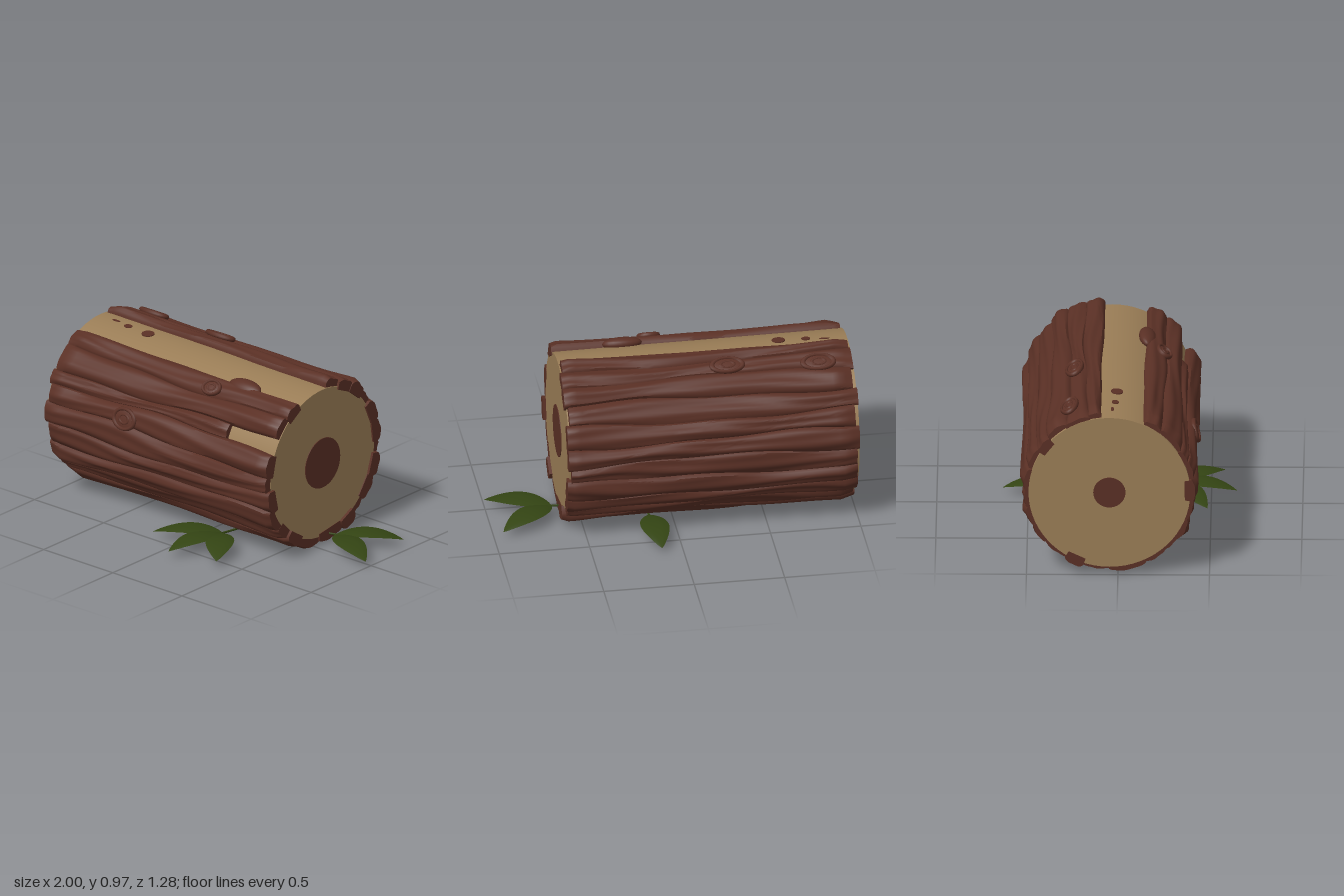
import * as THREE from 'three';
import { toCreasedNormals } from 'three/addons/utils/BufferGeometryUtils.js';

const X0 = -0.995, X1 = 0.607;
const rad = THREE.MathUtils.degToRad;

export function createModel() {
  const bark = new THREE.MeshStandardMaterial({ name: 'bark', color: 0x5a3025 });
  const wood = new THREE.MeshStandardMaterial({ name: 'wood', color: 0x9a7d56 });
  const leafGreen = new THREE.MeshStandardMaterial({ name: 'leafGreen', color: 0x334413, side: THREE.DoubleSide });

  const model = new THREE.Group();
  const log = new THREE.Group();
  log.name = 'log';
  log.position.set(0, 0.49, -0.047);
  model.add(log);

  const add = (parent, name, geometry, material) => {
    const mesh = new THREE.Mesh(geometry, material);
    mesh.name = name;
    parent.add(mesh);
    return mesh;
  };

  // Bare wood cylinder along x, with the dark heart on each end
  const trunk = new THREE.CylinderGeometry(0.432, 0.442, X1 - X0, 64, 1).rotateZ(-Math.PI / 2);
  add(log, 'woodCore', trunk, wood).position.x = (X0 + X1) / 2;
  for (const [x, r, name] of [[X1, 0.145, 'rightHeart'], [X0, 0.088, 'leftHeart']]) {
    const heart = new THREE.CylinderGeometry(r, r, 0.008, 40).rotateZ(-Math.PI / 2);
    add(log, name, heart, bark).position.x = x;
  }

  // Bark: long planks side by side round the log, angles measured from the top towards +z
  const edges = [26, 40, 57, 67, 82, 97, 111, 126, 140, 155, 177, 199, 214, 229, 243, 258, 272, 286, 300, 315, 330, 343, 354];
  edges.slice(0, -1).forEach((_, i) => {
    const start = -0.985 + 0.012 * Math.sin(i * 2.7);
    const end = i === 2 ? 0.27 : 0.612 + 0.012 * Math.sin(i * 4.1);
    add(log, 'barkPlank', plankGeometry(edges, i, start, end), bark);
  });

  // Places a mesh on the log surface at angle a (degrees), pointing outwards
  const onLog = (mesh, x, a, r) => {
    const t = rad(a);
    mesh.position.set(x, r * Math.cos(t), r * Math.sin(t));
    mesh.rotation.x = t;
    return mesh;
  };

  // Ringed knots in the bark
  for (const [x, a, w, d] of [[-0.42, 75, 0.085, 0.066], [0.06, 37, 0.065, 0.05], [-0.8, -27, 0.1, 0.055], [-0.3, -24, 0.1, 0.055]]) {
    const knot = new THREE.Group();
    knot.name = 'barkKnot';
    log.add(onLog(knot, x, a, 0.484));
    for (const [size, tube] of [[1, 0.16], [0.5, 0.13]]) {
      const ring = new THREE.TorusGeometry(size - tube, tube, 8, 28).rotateX(Math.PI / 2);
      add(knot, 'knotRing', ring, bark).scale.set(w, 0.085, d);
    }
    add(knot, 'knotCentre', new THREE.SphereGeometry(1, 24, 12), bark).scale.set(w * 0.85, 0.008, d * 0.85);
  }
  // Rounded bump on the edge of the bare strip
  const bump = add(log, 'barkBump', new THREE.SphereGeometry(1, 24, 12), bark);
  onLog(bump, 0.22, 26, 0.45).scale.set(0.11, 0.035, 0.05);

  // Small knots in the bare wood
  for (const [x, a, w, d] of [[-0.77, 4, 0.025, 0.02], [-0.62, 5, 0.037, 0.033], [-0.87, 2, 0.028, 0.008]]) {
    const spot = add(log, 'woodKnot', new THREE.CylinderGeometry(1, 1, 0.009, 20), bark);
    onLog(spot, x, a, 0.439).scale.set(w, 1, d);
  }

  // Leaf sprigs on the ground: stem root, leaf base and leaf tips
  const sprigs = [
    { name: 'frontSprig', root: [0.19, 0.055, 0.08], base: [0.17, 0.058, 0.28], tips: [[-0.16, 0.48], [0.09, 0.64], [0.38, 0.575]] },
    { name: 'rightSprig', root: [0.57, 0.06, -0.1], base: [0.65, 0.058, -0.11], tips: [[0.95, -0.33], [1.0, 0.045]] },
    { name: 'backSprig', root: [0.15, 0.055, -0.12], base: [0.14, 0.058, -0.29], tips: [[0.12, -0.64]] },
  ];
  for (const { name, root, base, tips } of sprigs) {
    const sprig = new THREE.Group();
    sprig.name = name;
    model.add(sprig);
    const a = new THREE.Vector3(...root), b = new THREE.Vector3(...base);
    const mid = a.clone().lerp(b, 0.5);
    mid.y -= 0.004;
    add(sprig, 'stem', new THREE.TubeGeometry(new THREE.CatmullRomCurve3([a, mid, b]), 8, 0.006, 8), leafGreen);
    for (const tip of tips) {
      const dx = tip[0] - base[0], dz = tip[1] - base[2];
      const leaf = add(sprig, 'leaf', leafGeometry(Math.hypot(dx, dz)), leafGreen);
      leaf.position.set(...base);
      leaf.rotation.y = Math.atan2(-dz, dx);
    }
  }
  return model;
}

// Position of the seam between two planks, wandering along the log
function seam(edges, i, x) {
  const outer = i === 0 || i === edges.length - 1;
  const k = outer ? 0.4 : 1;
  return rad(edges[i]) + k * (0.035 * Math.sin(3.1 * x + i * 1.7) + 0.014 * Math.sin(9 * x + i * 2.3));
}

// One bark plank: rounded, ridged cross-sections swept along x
function plankGeometry(edges, i, start, end) {
  const across = 12, along = 44, ring = across + 3;
  const position = [], index = [];
  const point = (x, a, r) => position.push(x, r * Math.cos(a), r * Math.sin(a));
  const height = 0.488 + 0.009 * Math.sin(i * 2.4);
  for (let j = 0; j <= along; j++) {
    const t = j / along, x = start + (end - start) * t;
    const a0 = seam(edges, i, x) - 0.008, a1 = seam(edges, i + 1, x) + 0.008;
    const waist = 1 - 0.022 * (1 - ((x + 0.2) / 0.8) ** 2);
    const round = Math.min(1, 0.4 + t * 14, 0.65 + (1 - t) * 14);
    for (let k = 0; k <= across; k++) {
      const s = k / across;
      const bulge = Math.sin(Math.PI * s) ** 0.45;
      const ridge = 0.005 * Math.sin(s * 11 + 2 * Math.sin(4 * x + i) + i) * bulge
        + 0.004 * Math.sin(7 * x + i * 3 + s * 4) * bulge;
      point(x, a0 + (a1 - a0) * s, (0.456 + ((height - 0.456) * bulge + ridge) * round) * waist);
    }
    point(x, a1, 0.415);
    point(x, a0, 0.415);
  }
  for (let j = 0; j < along; j++) {
    for (let k = 0; k < ring; k++) {
      const a = j * ring + k, b = j * ring + (k + 1) % ring;
      index.push(a, b, a + ring, b, b + ring, a + ring);
    }
  }
  // End caps
  const last = along * ring;
  for (let k = 0; k < ring - 2; k++) {
    index.push(ring - 1, k + 1, k, last + ring - 1, last + k, last + k + 1);
  }
  const geometry = new THREE.BufferGeometry();
  geometry.setAttribute('position', new THREE.Float32BufferAttribute(position, 3));
  geometry.setIndex(index);
  // Turn the faces outwards whichever way the sweep ran
  geometry.computeVertexNormals();
  const m = Math.floor(along / 2) * ring + across / 2;
  const n = geometry.attributes.normal, p = geometry.attributes.position;
  if (n.getY(m) * p.getY(m) + n.getZ(m) * p.getZ(m) < 0) {
    geometry.setIndex(index.slice().reverse());
  }
  return toCreasedNormals(geometry, 0.7);
}

// Pointed leaf along +x: arched, with a creased midrib
function leafGeometry(length) {
  const geometry = new THREE.PlaneGeometry(1, 2, 18, 6).rotateX(-Math.PI / 2);
  const p = geometry.attributes.position;
  for (let i = 0; i < p.count; i++) {
    const t = p.getX(i) + 0.5, v = p.getZ(i);
    const half = 0.078 * Math.max(0, Math.sin(Math.PI * t ** 0.85)) ** 0.85;
    const y = 0.14 * t * (1 - t) - 0.018 * t + (0.006 * Math.abs(v) - 0.014 * v * v) * half / 0.078;
    p.setXYZ(i, t * length, y, v * half);
  }
  geometry.computeVertexNormals();
  return geometry;
}
